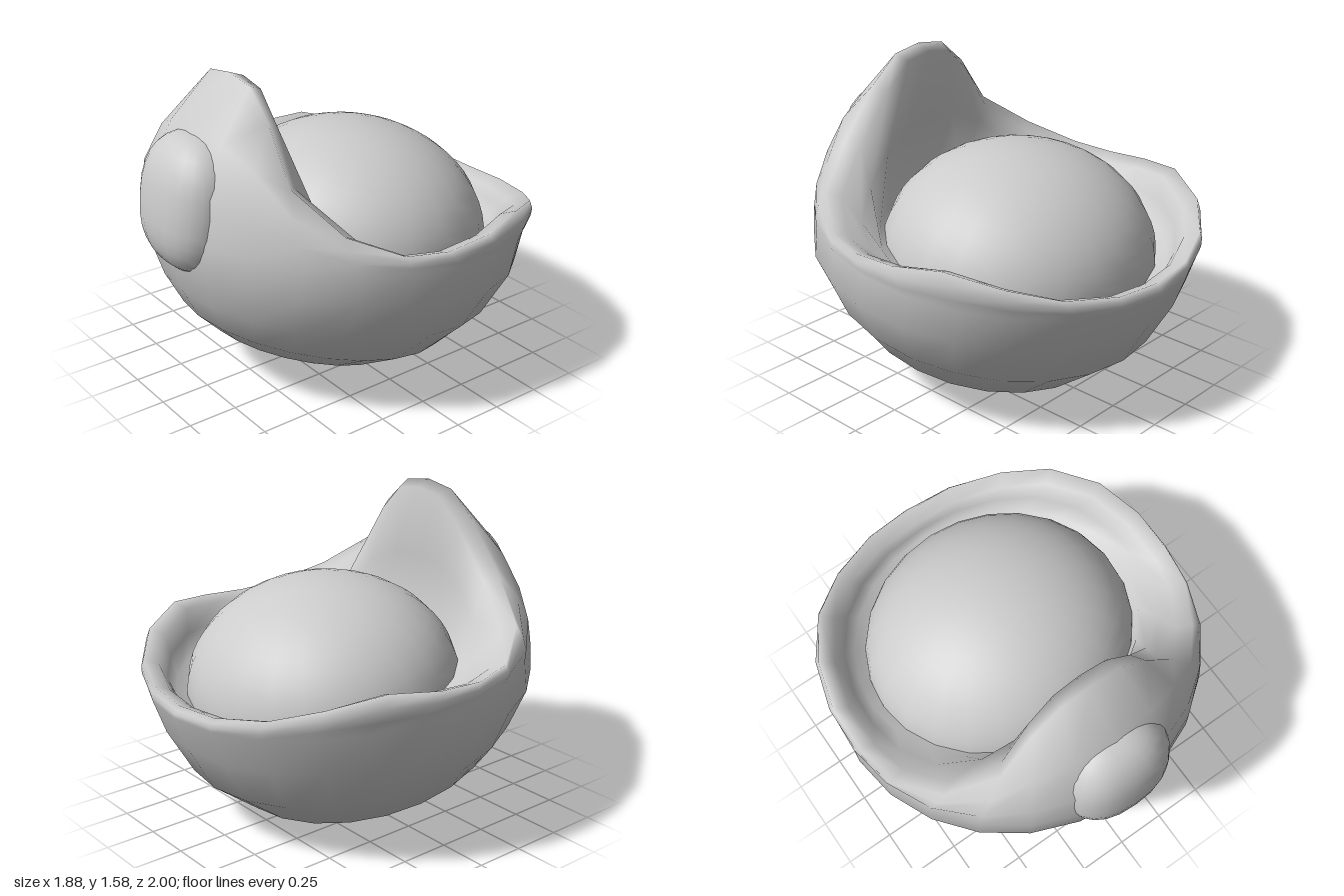
import * as THREE from 'three';

const SIDES = 24;
const HALF = SIDES / 2;
const material = new THREE.MeshStandardMaterial({ color: 0xcccccc, side: THREE.DoubleSide });

// Upper rim from front centre to back centre, one point per 15 degrees, mirrored for the other side
const RIM = [
  [0, 1.575, 0.56], [0.16, 1.55, 0.56], [0.31, 1.42, 0.565], [0.49, 1.175, 0.58], [0.73, 1.0, 0.46],
  [0.875, 0.9, 0.24], [0.92, 0.88, 0.03], [0.92, 0.895, -0.21], [0.85, 0.92, -0.45],
  [0.71, 0.86, -0.69], [0.51, 0.79, -0.85], [0.25, 0.75, -0.95], [0, 0.735, -0.97],
].map((p) => new THREE.Vector3(...p));

function rimPoint(i) {
  const p = RIM[i <= HALF ? i : SIDES - i].clone();
  if (i > HALF) p.x *= -1;
  return p;
}

// Tilted ellipse given by its half width and its back and front ends in (z, y)
function ellipseRing(rx, zBack, yBack, zFront, yFront) {
  return Array.from({ length: SIDES }, (_, i) => {
    const a = (i / SIDES) * Math.PI * 2;
    const t = (1 + Math.cos(a)) / 2;
    return new THREE.Vector3(
      rx * Math.sin(a), THREE.MathUtils.lerp(yBack, yFront, t), THREE.MathUtils.lerp(zBack, zFront, t));
  });
}

// Skin over a list of rings, closed at the first ring
function loft(rings) {
  const pos = [], index = [];
  rings.forEach((ring) => ring.forEach((p) => pos.push(p.x, p.y, p.z)));
  for (let r = 0; r < rings.length - 1; r++) {
    for (let i = 0; i < SIDES; i++) {
      const j = (i + 1) % SIDES;
      const a = r * SIDES + i, b = r * SIDES + j;
      index.push(a, b, b + SIDES, a, b + SIDES, a + SIDES);
    }
  }
  const centre = rings[0].reduce((s, p) => s.add(p), new THREE.Vector3()).divideScalar(SIDES);
  const c = pos.length / 3;
  pos.push(centre.x, centre.y, centre.z);
  for (let i = 0; i < SIDES; i++) index.push(c, (i + 1) % SIDES, i);
  const g = new THREE.BufferGeometry();
  g.setAttribute('position', new THREE.Float32BufferAttribute(pos, 3));
  g.setIndex(index);
  g.computeVertexNormals();
  return g;
}

function buildShell() {
  const upper = ellipseRing(0.935, -1.0, 0.68, 0.92, 0.9);
  const rim = Array.from({ length: SIDES }, (_, i) => rimPoint(i));
  // Hood rings bulge outward in proportion to the rise of the rim
  const hood = [1 / 3, 2 / 3].map((t) => upper.map((p, i) => {
    const q = p.clone().lerp(rim[i], t);
    const out = new THREE.Vector3(p.x, 0, p.z).normalize();
    return q.addScaledVector(out, 0.13 * Math.max(0, rim[i].y - p.y));
  }));
  // Rounded lip, set in towards the middle of the bowl
  const lip = rim.map((p) => {
    const inward = new THREE.Vector3(-p.x, 0, -0.05 - p.z).normalize();
    return p.clone().addScaledVector(inward, 0.075).add(new THREE.Vector3(0, -0.03, 0));
  });
  // Ledge where the wall meets the cushion
  const ledge = ellipseRing(0.74, -0.85, 0.62, 0.51, 0.83);
  const innerWall = lip.map((p, i) => p.clone().lerp(ledge[i], 0.5));
  return loft([
    // Shallow hollow under the base
    ellipseRing(0.3, -0.1, 0.12, 0.46, 0.285),
    ellipseRing(0.41, -0.22, 0.065, 0.58, 0.285),
    ellipseRing(0.48, -0.3, 0, 0.66, 0.275),
    ellipseRing(0.67, -0.55, 0.08, 0.78, 0.4),
    ellipseRing(0.83, -0.8, 0.27, 0.86, 0.56),
    ellipseRing(0.94, -0.93, 0.5, 0.92, 0.76),
    upper, ...hood, rim, lip, innerWall, ledge,
    ellipseRing(0.6, -0.72, 0.57, 0.4, 0.78),
  ]);
}

// Rounded, slightly boxy knob
function buildKnob() {
  const g = new THREE.SphereGeometry(1, 24, 16);
  const p = g.attributes.position;
  const swell = (v) => Math.sign(v) * Math.pow(Math.abs(v), 0.82);
  for (let i = 0; i < p.count; i++) {
    p.setXYZ(i, swell(p.getX(i)) * 0.29, swell(p.getY(i)) * 0.33, swell(p.getZ(i)) * 0.23);
  }
  g.computeVertexNormals();
  return g;
}

export function createModel() {
  const model = new THREE.Group();
  const add = (name, geometry) => {
    const mesh = new THREE.Mesh(geometry, material);
    mesh.name = name;
    model.add(mesh);
    return mesh;
  };

  add('bowlShell', buildShell());

  // Domed cushion filling the bowl
  const dome = add('domeCushion', new THREE.SphereGeometry(1, 24, 16, 0, Math.PI * 2, 0, Math.PI * 0.6));
  dome.scale.set(0.7, 0.53, 0.665);
  dome.position.set(0, 0.655, -0.135);
  dome.rotation.x = -0.16;

  // Knob sunk into the front of the hood
  const knob = add('frontKnob', buildKnob());
  knob.position.set(0, 1.0, 0.76);
  knob.rotation.x = -0.12;

  return model;
}
